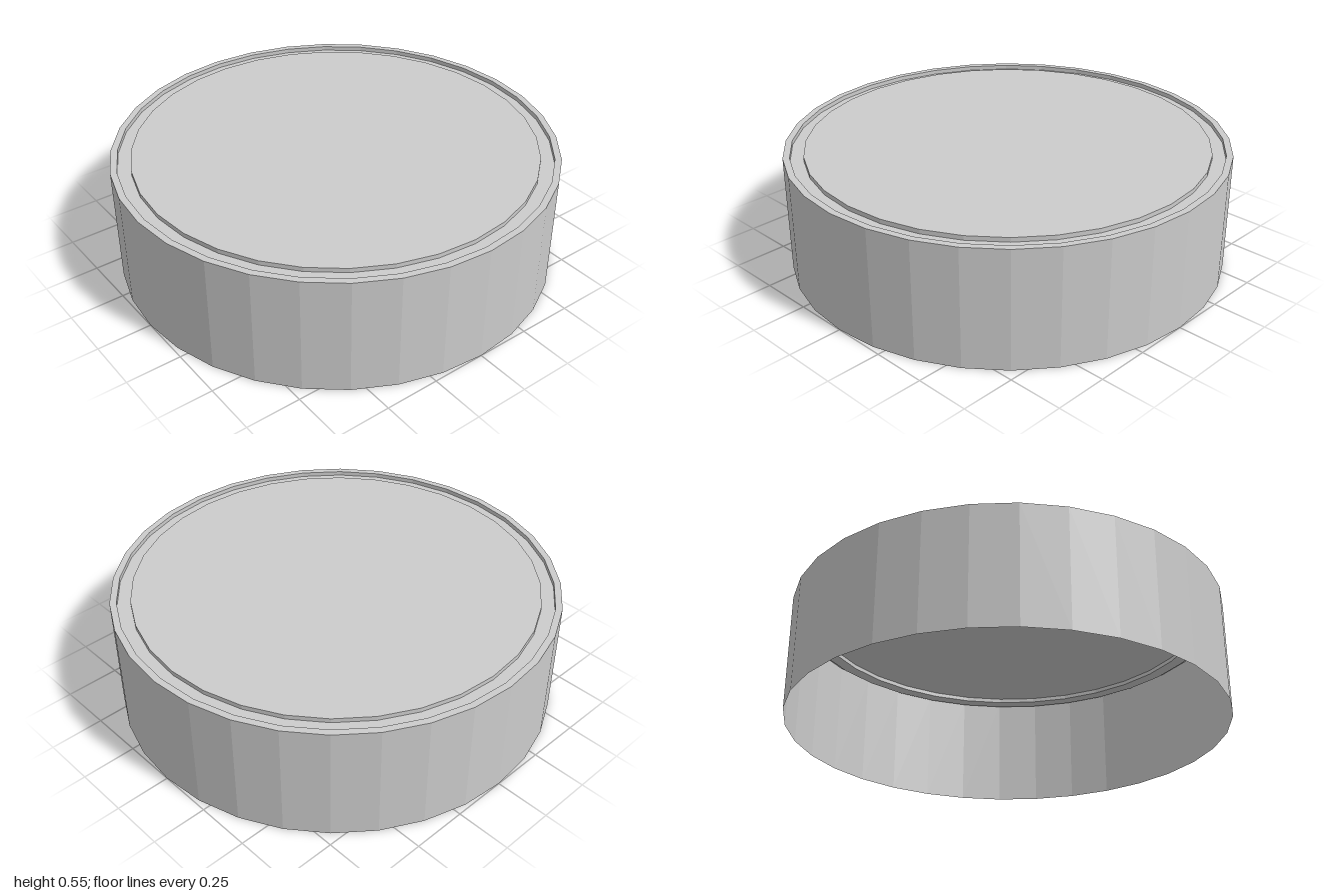
import * as THREE from 'three';

const SIDES = 32;
const HEIGHT = 0.545;
const GROOVE_Y = HEIGHT - 0.02;
const R_WALL = 1, R_LIP = 0.97, R_DISC = 0.91;

// Thin sheet surface turned from [radius, y] points, listed from outside in
function turned(name, profile, material) {
  const points = profile.map(([r, y]) => new THREE.Vector2(r, y));
  const mesh = new THREE.Mesh(new THREE.LatheGeometry(points, SIDES), material);
  mesh.name = name;
  return mesh;
}

export function createModel() {
  const group = new THREE.Group();
  group.name = 'lid';
  const material = new THREE.MeshStandardMaterial({
    color: 0xcccccc, flatShading: true, side: THREE.DoubleSide,
  });

  // Side skirt, open at the bottom
  group.add(turned('skirt', [[R_WALL, 0], [R_WALL, HEIGHT]], material));

  // Narrow flat rim around the top
  group.add(turned('rim', [[R_WALL, HEIGHT], [R_LIP, HEIGHT]], material));

  // Shallow groove pressed between rim and disc
  group.add(turned('groove', [
    [R_LIP, HEIGHT], [R_LIP, GROOVE_Y], [R_DISC, GROOVE_Y], [R_DISC, HEIGHT],
  ], material));

  // Flat centre disc, level with the rim
  const disc = new THREE.Mesh(new THREE.CircleGeometry(R_DISC, SIDES), material);
  disc.name = 'topDisc';
  disc.rotation.x = -Math.PI / 2;
  disc.position.y = HEIGHT;
  group.add(disc);

  return group;
}
